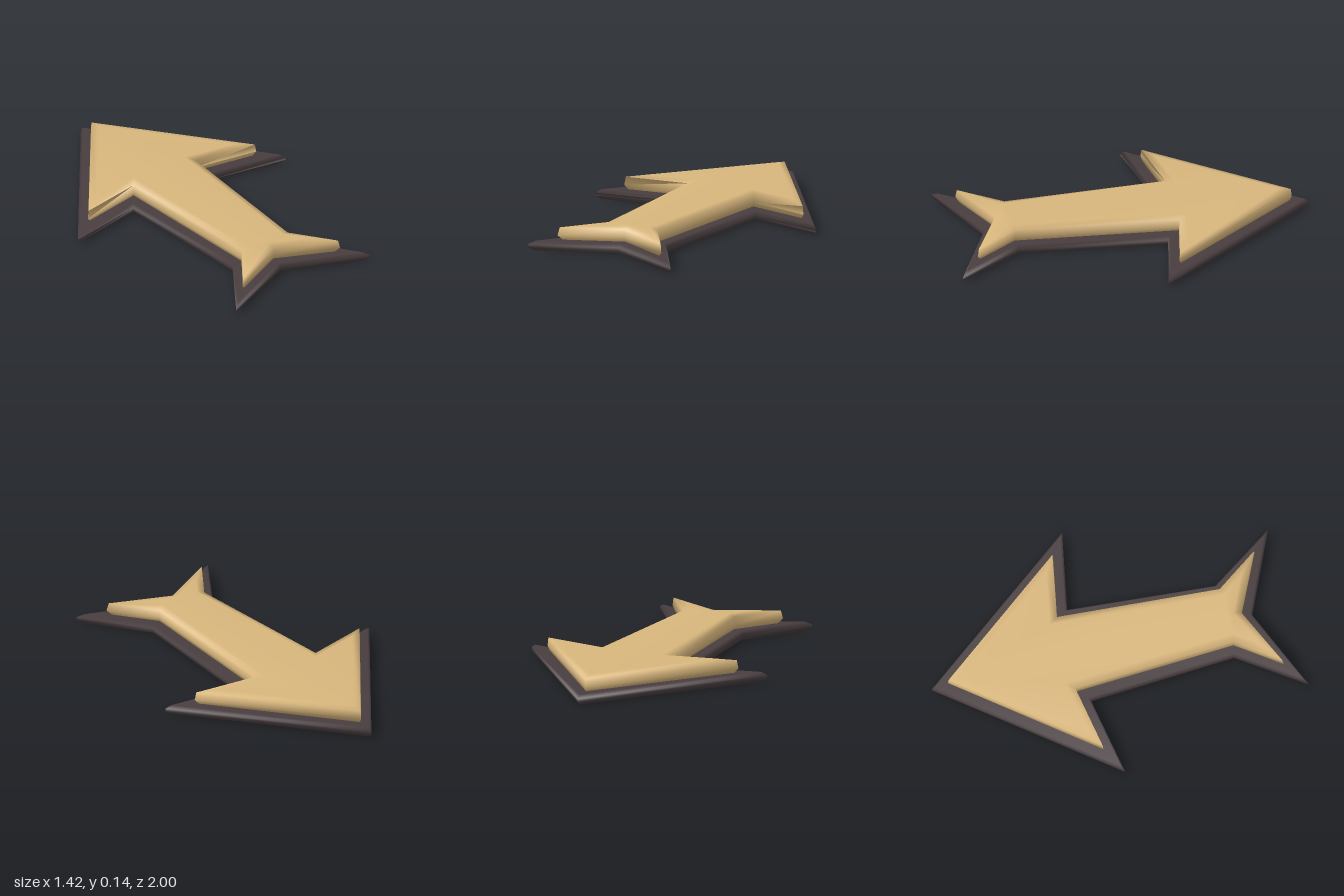
import * as THREE from 'three';

const gold = new THREE.MeshStandardMaterial({ name: 'sandGold', color: 0xd8b67c });
const dark = new THREE.MeshStandardMaterial({ name: 'darkBrown', color: 0x483d3f });

// Full counter-clockwise outline (x, -z) from the right half, tip to notch
function mirrorOutline(tip, side, notch) {
  const left = side.map(([x, z]) => [-x, z]);
  return [[0, tip], ...left, [0, notch], ...side.slice().reverse()]
    .map(([x, z]) => new THREE.Vector2(x, -z));
}

// Move every edge of the outline inward by d, with mitred corners
function inset(points, d) {
  const n = points.length;
  const normal = (a, b) => {
    const e = b.clone().sub(a).normalize();
    return new THREE.Vector2(-e.y, e.x);
  };
  return points.map((p, i) => {
    const n1 = normal(points[(i + n - 1) % n], p);
    const n2 = normal(p, points[(i + 1) % n]);
    return p.clone().addScaledVector(n1.clone().add(n2), d / (1 + n1.dot(n2)));
  });
}

// Softly bevelled plate: rings of [inset, height] from bottom to top, capped at both ends
function bevelledPlate(name, outline, rings, material) {
  const n = outline.length;
  const positions = [];
  const index = [];
  for (const [d, y] of rings) {
    for (const p of inset(outline, d)) positions.push(p.x, y, -p.y);
  }
  for (let j = 0; j < rings.length - 1; j++) {
    for (let i = 0; i < n; i++) {
      const a = j * n + i;
      const b = j * n + (i + 1) % n;
      index.push(a, b, b + n, a, b + n, a + n);
    }
  }
  const top = (rings.length - 1) * n;
  const cap = THREE.ShapeUtils.triangulateShape(inset(outline, rings[rings.length - 1][0]), []);
  for (const [a, b, c] of cap) {
    index.push(top + a, top + b, top + c);
    index.push(a, c, b);
  }
  const geometry = new THREE.BufferGeometry();
  geometry.setAttribute('position', new THREE.Float32BufferAttribute(positions, 3));
  geometry.setIndex(index);
  geometry.computeVertexNormals();
  const mesh = new THREE.Mesh(geometry, material);
  mesh.name = name;
  return mesh;
}

export function createModel() {
  const group = new THREE.Group();
  group.name = 'arrow';

  // Dark backing plate
  const backing = mirrorOutline(-1,
    [[0.71, -0.095], [0.27, -0.175], [0.212, 0.64], [0.458, 0.995]], 0.795);
  group.add(bevelledPlate('backingPlate', backing,
    [[0.012, 0], [0, 0.018], [0, 0.036], [0.012, 0.055]], dark));

  // Raised face of the arrow
  const face = mirrorOutline(-0.91,
    [[0.575, -0.18], [0.215, -0.245], [0.16, 0.65], [0.333, 0.89]], 0.735);
  group.add(bevelledPlate('raisedArrow', face,
    [[0.009, 0.05], [0, 0.08], [0.003, 0.125], [0.042, 0.137]], gold));

  return group;
}
